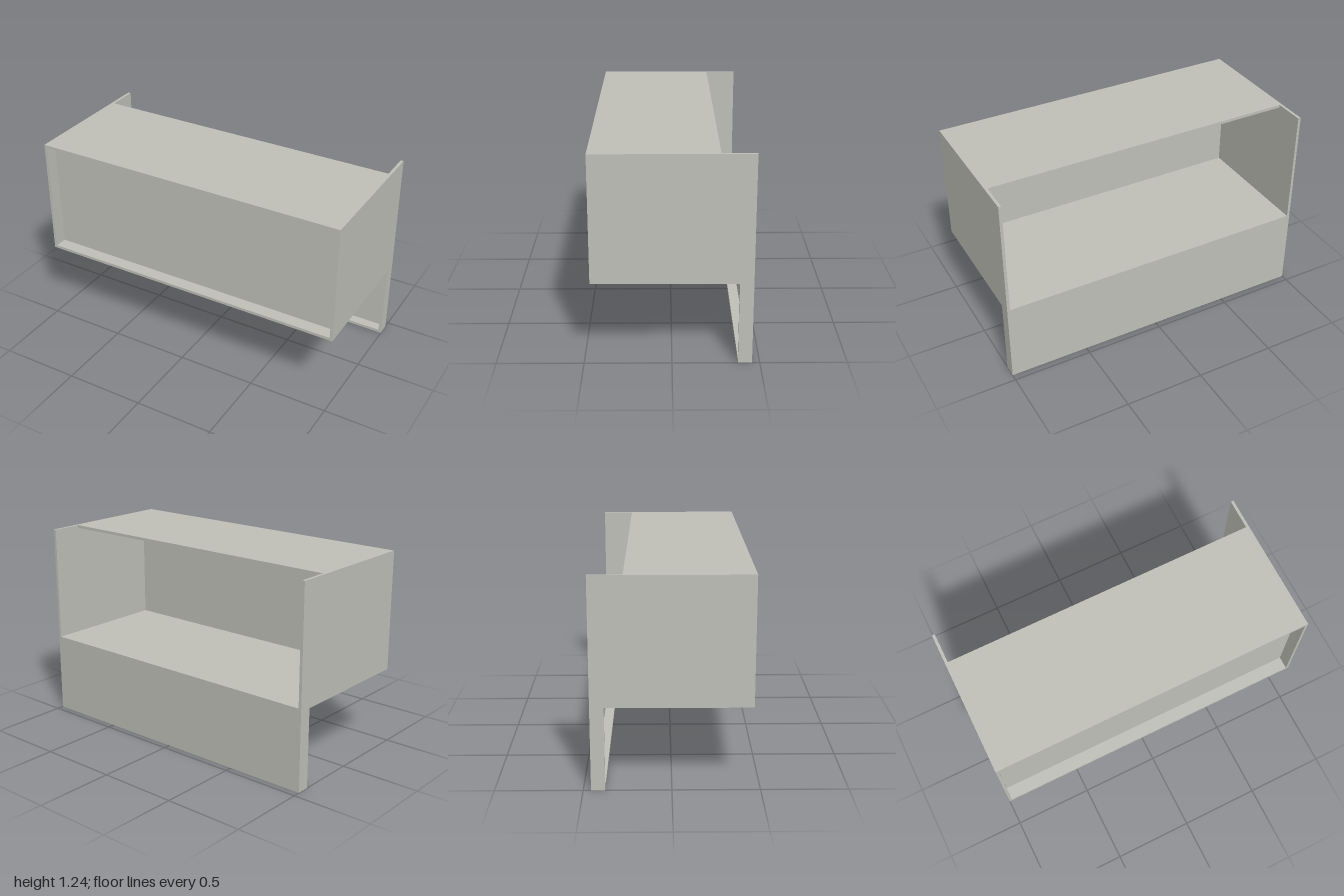
import * as THREE from 'three';

const T = 0.018;      // board thickness
const H = 1.243;      // overall height
const D = 0.456;      // half depth
const SHELF = 0.493;  // underside of the upper box
const RIM = 0.08;     // recess depth and foot depth

export function createModel() {
  const group = new THREE.Group();
  const board = new THREE.MeshStandardMaterial({ color: 0xbfbfb8 });
  board.name = 'warm grey board';

  // Boards fitted between the two sides, given by their y and z ranges
  const addBoard = (name, y0, y1, z0, z1) => {
    const mesh = new THREE.Mesh(new THREE.BoxGeometry(2 - 2 * T, y1 - y0, z1 - z0), board);
    mesh.position.set(0, (y0 + y1) / 2, (z0 + z1) / 2);
    mesh.name = name;
    group.add(mesh);
  };

  // L-shaped side panels, drawn in z and y and extruded along x
  const profile = new THREE.Shape([
    [-D, 0], [-D + RIM, 0], [-D + RIM, SHELF], [D, SHELF], [D, H], [-D, H],
  ].map(([z, y]) => new THREE.Vector2(z, y)));
  const sideGeometry = new THREE.ExtrudeGeometry(profile, { depth: T, bevelEnabled: false });
  sideGeometry.rotateY(-Math.PI / 2);
  for (const [name, x] of [['leftSide', 1], ['rightSide', -1 + T]]) {
    const side = new THREE.Mesh(sideGeometry, board);
    side.position.x = x;
    side.name = name;
    group.add(side);
  }

  // Upper box: top stops short of the back, front panel is recessed
  addBoard('top', H - T, H, -0.262, D);
  addBoard('shelf', SHELF, SHELF + T, -D, D);
  addBoard('frontPanel', SHELF + T, H - T, D - RIM - T, D - RIM);

  // Lower back apron with its bottom ledge
  addBoard('lowerBackPanel', T, SHELF, -D, -D + T);
  addBoard('bottomLedge', 0, T, -D, -D + RIM);

  return group;
}
